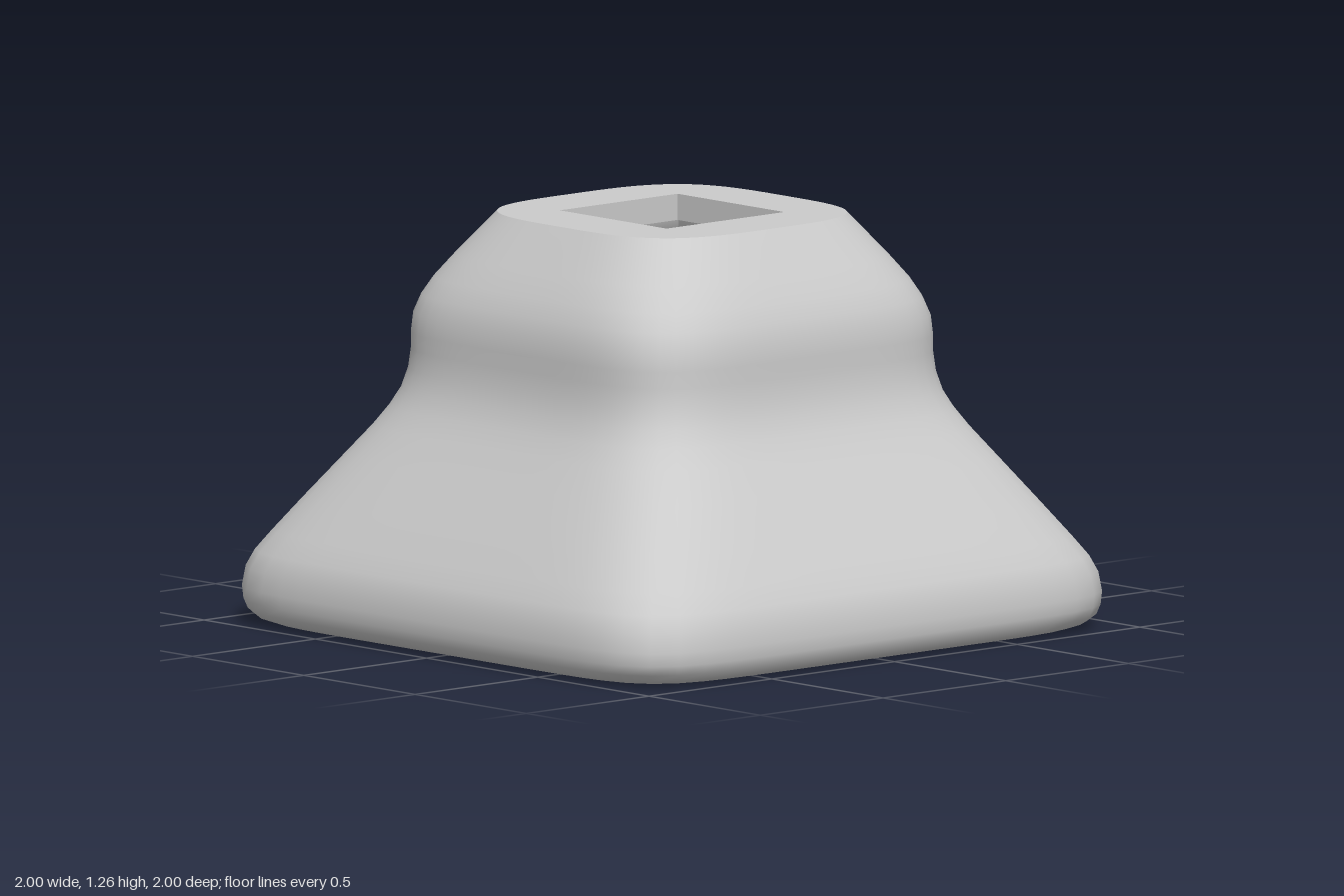
import * as THREE from 'three';

const TOP = 1.26, PLATE = 1.18, LEDGE = 0.38, BLOCK_TOP = 0.86, HOLE = 0.24, BORE = 0.73, FOOT = 0.9;
const SEGS = 96;

// Rounded square outline: the corner bulge keeps the same size at every width
function outline(w) {
  const n = Math.log(0.5) / Math.log(1 - 0.081 / w);
  return Array.from({ length: SEGS }, (_, i) => {
    const a = (i / SEGS) * Math.PI * 2;
    const c = Math.cos(a), s = Math.sin(a);
    const r = w / Math.pow(Math.abs(c) ** n + Math.abs(s) ** n, 1 / n);
    return new THREE.Vector2(r * c, r * s);
  });
}

const square = (h) => [[-h, -h], [h, -h], [h, h], [-h, h]].map((p) => new THREE.Vector2(...p));

// Flat horizontal face with a square opening
function ringFace(points, hole, y, up) {
  const shape = new THREE.Shape(points);
  shape.holes.push(new THREE.Path(square(hole)));
  return new THREE.ShapeGeometry(shape).rotateX(up ? -Math.PI / 2 : Math.PI / 2).translate(0, y, 0);
}

// Smooth outer skin lofted through [half width, height] rings
function skin(rings) {
  const pos = [], index = [];
  rings.forEach(([w, y]) => outline(w).forEach((p) => pos.push(p.x, y, p.y)));
  for (let j = 0; j < rings.length - 1; j++) {
    for (let i = 0; i < SEGS; i++) {
      const a = j * SEGS + i, b = j * SEGS + ((i + 1) % SEGS);
      index.push(a, a + SEGS, b, b, a + SEGS, b + SEGS);
    }
  }
  const g = new THREE.BufferGeometry();
  g.setAttribute('position', new THREE.Float32BufferAttribute(pos, 3));
  g.setIndex(index);
  g.computeVertexNormals();
  return g;
}

// One inward-facing mitred wall following [half width, height] points
function innerWall(profile) {
  const g = new THREE.PlaneGeometry(2, 1, 1, profile.length - 1);
  const pos = g.attributes.position;
  for (let i = 0; i < pos.count; i++) {
    const [w, y] = profile[profile.length - 1 - Math.floor(i / 2)];
    pos.setXYZ(i, pos.getX(i) * w, y, -w);
  }
  g.computeVertexNormals();
  return g;
}

// Upright corner block with flared flanks
function cornerBlock() {
  const flank = [[0.19, 0.25], [0.165, 0.28], [0.145, 0.33], [0.125, 0.41], [0.105, 0.54]];
  const pts = [[HOLE, HOLE], ...flank.map(([a, b]) => [b, a]), [0.54, 0.54], ...flank.slice().reverse()];
  const shape = new THREE.Shape(pts.map((p) => new THREE.Vector2(...p)));
  const g = new THREE.ExtrudeGeometry(shape, { depth: BLOCK_TOP - LEDGE, bevelEnabled: false });
  return g.rotateX(-Math.PI / 2).translate(0, LEDGE, 0);
}

export function createModel() {
  const group = new THREE.Group();
  const mat = new THREE.MeshStandardMaterial({ color: 0xcccccc });
  const add = (name, geometry, turn = 0) => {
    const mesh = new THREE.Mesh(geometry, mat);
    mesh.name = name;
    mesh.rotation.y = turn * Math.PI / 2;
    group.add(mesh);
  };

  // Outer skin: heavy foot, sloping skirt, waist and shoulder
  const profile = [
    [FOOT, 0], [0.94, 0.006], [0.968, 0.018], [0.988, 0.04], [0.997, 0.07], [1, 0.11],
    [0.992, 0.17], [0.972, 0.22], [0.935, 0.28], [0.87, 0.38], [0.78, 0.515], [0.72, 0.605],
    [0.685, 0.665], [0.66, 0.72], [0.645, 0.78], [0.639, 0.84], [0.639, 0.89],
    [0.634, 0.95], [0.617, 1.005], [0.59, 1.06], [0.545, 1.13], [0.455, TOP],
  ];
  add('outerSkin', skin(profile));

  // Flat faces
  add('topFace', ringFace(outline(0.455), HOLE, TOP, true));
  add('topPlateUnderside', ringFace(square(0.27), HOLE, PLATE, false));
  add('footUnderside', ringFace(outline(FOOT), BORE, 0, false));

  // Socket, cavity and corner blocks, repeated on four sides
  const cavity = [
    [BORE, 0], [0.715, 0.1], [0.69, 0.15], [0.65, 0.2], [0.59, 0.25], [0.555, 0.3], [0.53, LEDGE],
    [0.51, 0.7], [0.49, 0.78], [0.44, BLOCK_TOP], [0.39, 0.94], [0.365, 1.01], [0.33, 1.07], [0.285, 1.13], [0.27, PLATE],
  ];
  for (let i = 0; i < 4; i++) {
    add('socketWall', innerWall([[HOLE, PLATE], [HOLE, TOP]]), i);
    add('cavityWall', innerWall(cavity), i);
    add('cornerBlock', cornerBlock(), i);
  }
  return group;
}
